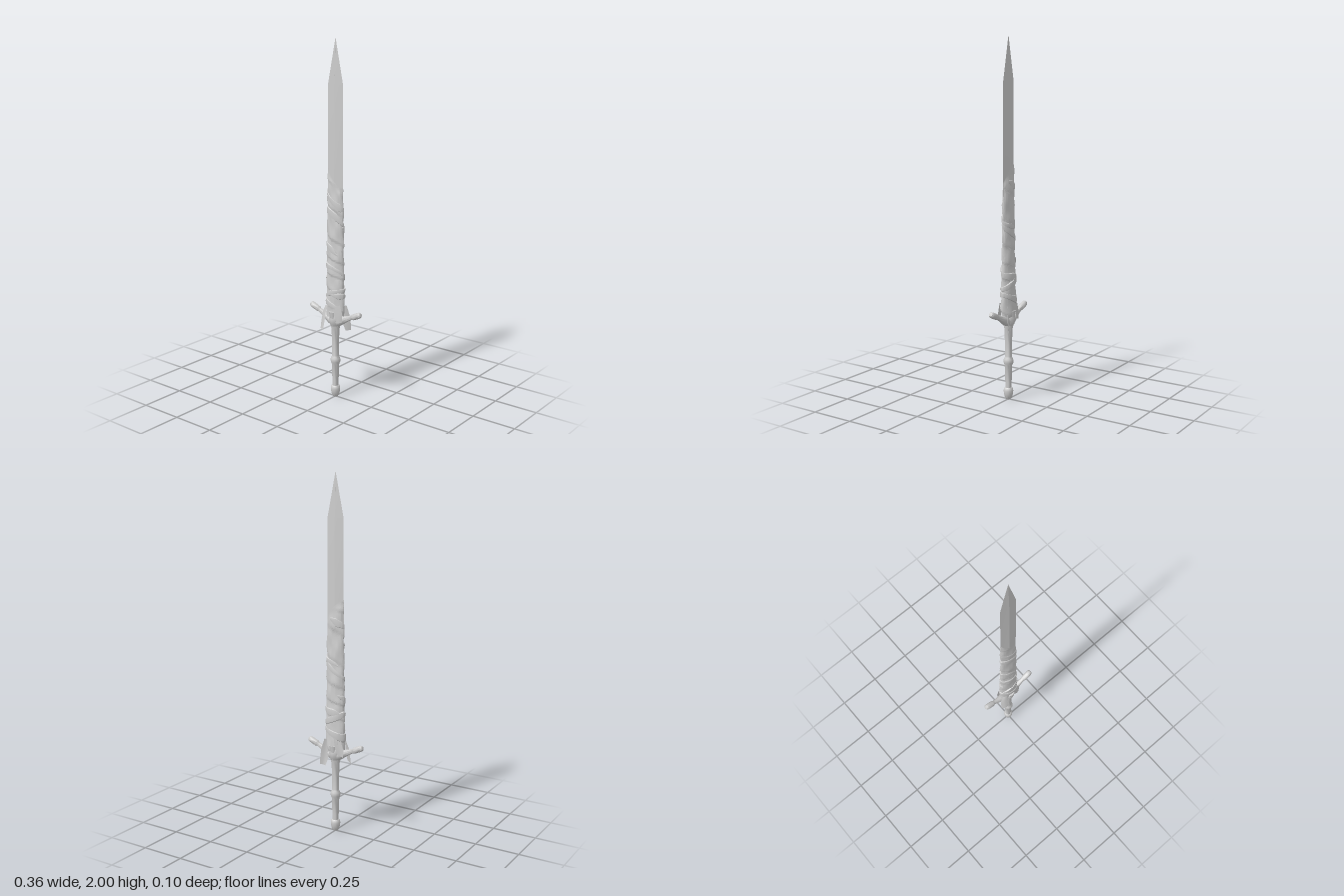
import * as THREE from 'three';
import { toCreasedNormals } from 'three/addons/utils/BufferGeometryUtils.js';

const mat = new THREE.MeshStandardMaterial({ color: 0xcccccc });
const clothMat = new THREE.MeshStandardMaterial({ color: 0xcccccc, side: THREE.DoubleSide });
const { lerp, smoothstep } = THREE.MathUtils;

function mesh(name, geometry, material = mat) {
  const m = new THREE.Mesh(geometry, material);
  m.name = name;
  return m;
}

// Surface through rows of points; closed joins each row's end to its start
function loft(rows, closed, crease = 0.6) {
  const n = rows[0].length, index = [];
  for (let j = 0; j < rows.length - 1; j++) {
    for (let i = 0; i < (closed ? n : n - 1); i++) {
      const a = j * n + i, b = j * n + (i + 1) % n;
      index.push(a, a + n, b, b, a + n, b + n);
    }
  }
  const g = new THREE.BufferGeometry();
  g.setAttribute('position', new THREE.Float32BufferAttribute(rows.flat(2), 3));
  g.setIndex(index);
  g.computeVertexNormals();
  return toCreasedNormals(g, crease);
}

function lathe(profile, sides) {
  const g = new THREE.LatheGeometry(profile.map(([r, y]) => new THREE.Vector2(r, y)), sides);
  return toCreasedNormals(g, 0.7);
}

// Lens-shaped cloth section around the blade: angle t, height y, outward offset
function clothPoint(t, y, off) {
  const k = smoothstep(y, 0.48, 1.3);
  const a = lerp(0.057, 0.05, k) + off * 0.8;
  const b = lerp(0.029, 0.014, k) + off;
  const s = Math.sin(t);
  return [a * Math.cos(t), y, b * s * Math.pow(Math.abs(s), 0.25)];
}

// Overlapping turns: each swells towards its lower edge, then steps in
function wrapOffset(t, y) {
  const phase = y / 0.115 + 0.35 * Math.sin(y * 9) - t / (2 * Math.PI);
  const f = phase - Math.floor(phase);
  const fold = 0.0013 * Math.sin(3 * t + y * 37) + 0.001 * Math.sin(5 * t - y * 61);
  return 0.006 * Math.pow(1 - f, 0.8) * Math.min(1, f * 9) + fold;
}

// Cloth strip wound over the sleeve
function windStrip(t0, turns, y0, y1, width, lift) {
  const n = Math.ceil(turns * 36), rows = [];
  for (let i = 0; i <= n; i++) {
    const u = i / n, t = t0 + u * turns * 2 * Math.PI;
    const y = lerp(y0, y1, u) + 0.008 * Math.sin(t * 1.7 + y0 * 20);
    const w = width * (0.8 + 0.25 * Math.sin(t * 1.3 + y0 * 30)) * Math.min(1, 0.25 + 6 * u, 0.25 + 6 * (1 - u));
    rows.push([-0.5, -0.4, 0, 0.4, 0.5].map((c, k) =>
      clothPoint(t, y + c * w, lift + [-0.006, 0.001, 0.0025, 0.001, -0.006][k])));
  }
  return loft(rows, false);
}

// Loose hanging cloth end; stations are [x, y, z, half width]
function rag(stations, skew) {
  return loft(stations.map(([x, y, z, w]) => [-1, -0.3, 0.3, 1].map((c) =>
    [x + c * w, y + c * w * 0.3, z + c * w * skew + (Math.abs(c) < 0.5 ? 0.004 : 0)])), false);
}

export function createModel() {
  const sword = new THREE.Group();
  sword.name = 'sword';

  // Diamond-section blade, tapering to a point
  const blade = [[0.44, 0.048, 0.014], [1.2, 0.052, 0.012], [1.76, 0.05, 0.008], [2, 0.0005, 0.0005]];
  sword.add(mesh('blade', loft(blade.map(([y, w, d]) =>
    [[w, y, 0], [0, y, d], [-w, y, 0], [0, y, -d]]).map((r) => r.reverse()).map((r) => r.slice().reverse()), true, 0.1)));

  // Grip with swollen middle ring, and pommel
  sword.add(mesh('grip', lathe([
    [0.017, 0.06], [0.018, 0.1], [0.021, 0.195], [0.027, 0.21], [0.028, 0.222], [0.026, 0.232],
    [0.019, 0.245], [0.02, 0.32], [0.022, 0.4], [0.029, 0.43], [0.03, 0.45]], 12)));
  sword.add(mesh('pommel', lathe([
    [0, 0], [0.014, 0.002], [0.021, 0.012], [0.026, 0.035], [0.027, 0.05], [0.025, 0.062], [0.02, 0.068], [0, 0.07]], 12)));

  // Guard: central hub and two raised arms with knobbed ends
  const guard = new THREE.Group();
  guard.name = 'guard';
  const hub = mesh('guardHub', lathe([
    [0, 0.412], [0.022, 0.416], [0.034, 0.435], [0.039, 0.46], [0.036, 0.485], [0.025, 0.505], [0, 0.51]], 12));
  hub.scale.x = 0.95;
  guard.add(hub);
  const armProfile = [[0.028, 0], [0.028, 0.03], [0.022, 0.06], [0.016, 0.09], [0.0125, 0.118], [0.0135, 0.126],
    [0.017, 0.135], [0.0175, 0.165], [0.0165, 0.182], [0.011, 0.19], [0, 0.192]];
  for (const side of [1, -1]) {
    const arm = mesh(side > 0 ? 'leftGuardArm' : 'rightGuardArm', lathe(armProfile, 10));
    arm.position.y = 0.443;
    arm.rotation.z = -side * 1.155;
    guard.add(arm);
  }
  // Small pointed tongues at the front and back of the hub
  for (const side of [1, -1]) {
    const tongue = mesh(side > 0 ? 'frontTongue' : 'backTongue', new THREE.ConeGeometry(0.022, 0.09, 6));
    tongue.scale.z = 0.5;
    tongue.position.set(0, 0.465, side * 0.031);
    tongue.rotation.x = Math.PI;
    guard.add(tongue);
  }
  sword.add(guard);

  // Cloth sleeve wound around the lower blade, with a slanting top edge
  const sleeve = [], around = 40, up = 150;
  for (let j = 0; j <= up; j++) {
    const v = j / up, row = [];
    for (let i = 0; i < around; i++) {
      const t = (i / around) * 2 * Math.PI;
      const top = 1.265 - 0.05 * Math.cos(t) - 0.025 * Math.sin(t);
      const y = lerp(0.485 + 0.012 * Math.sin(2 * t), top, v);
      const fade = smoothstep(1 - v, 0, 0.06);
      row.push(clothPoint(t, y, wrapOffset(t, y) * fade - (1 - fade) * 0.001));
    }
    sleeve.push(row);
  }
  sword.add(mesh('clothSleeve', loft(sleeve, true), clothMat));

  // Extra strips crossing over the sleeve
  const strips = [
    [0.4, 1.2, 0.53, 0.62, 0.05, 0.008], [2.6, -1, 0.6, 0.7, 0.04, 0.008], [3.6, 1.1, 0.68, 0.8, 0.04, 0.007],
    [1.0, 0.9, 0.84, 0.99, 0.04, 0.006], [4.2, 0.9, 0.96, 1.1, 0.045, 0.006], [0.1, 0.8, 1.09, 1.23, 0.05, 0.006],
  ];
  for (const [t0, turns, y0, y1, w, lift] of strips) {
    const g = turns > 0 ? windStrip(t0, turns, y0, y1, w, lift)
      : windStrip(t0, -turns, y1, y0, w, lift);
    sword.add(mesh('clothStrip', g, clothMat));
  }

  // Loose ends hanging past the guard
  sword.add(mesh('frontRag', rag([
    [-0.045, 0.54, 0.024, 0.012], [-0.056, 0.5, 0.03, 0.016], [-0.06, 0.45, 0.036, 0.019], [-0.063, 0.405, 0.043, 0.016]], 0.5), clothMat));
  sword.add(mesh('backRag', rag([
    [0.042, 0.54, -0.024, 0.012], [0.048, 0.49, -0.03, 0.018], [0.052, 0.44, -0.035, 0.02], [0.057, 0.395, -0.044, 0.014]], -0.5), clothMat));
  // Short flaps at the lower rim of the sleeve
  for (const side of [1, -1]) {
    sword.add(mesh('clothFlap', rag([
      [side * 0.03, 0.55, side * 0.03, 0.02], [side * 0.042, 0.5, side * 0.03, 0.024], [side * 0.048, 0.455, side * 0.028, 0.015]], -0.25), clothMat));
  }
  return sword;
}
